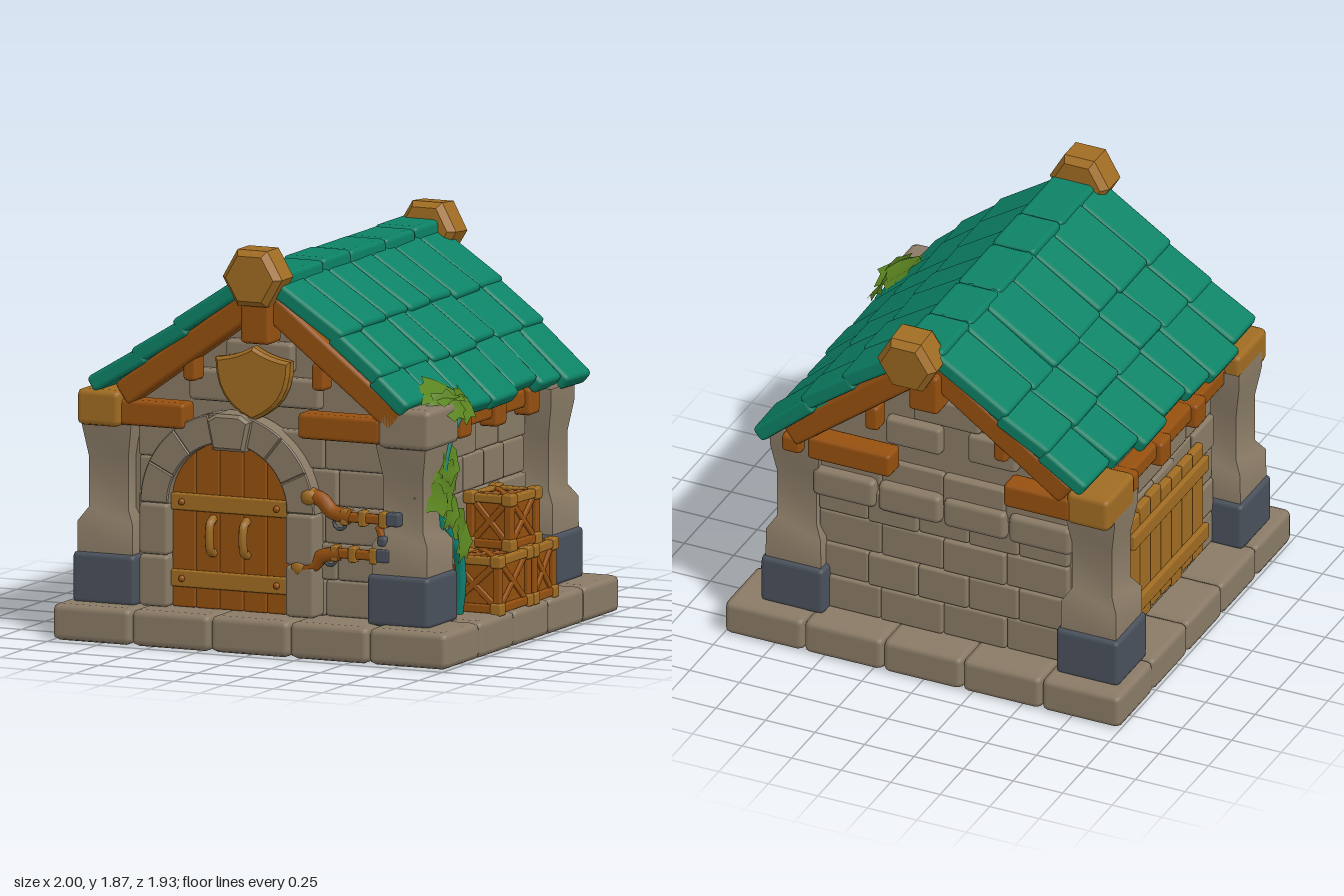
import * as THREE from 'three';
import { toCreasedNormals } from 'three/addons/utils/BufferGeometryUtils.js';
import { RoundedBoxGeometry } from 'three/addons/geometries/RoundedBoxGeometry.js';

const paint = (name, color, side = THREE.FrontSide) => {
  const m = new THREE.MeshStandardMaterial({ color, side });
  m.name = name;
  return m;
};

export function createModel() {
  const model = new THREE.Group();
  model.name = 'stoneHut';
  const stone = paint('stone', 0x8a7b66);
  const slate = paint('slate', 0x4a515c);
  const teal = paint('tealTile', 0x0c8266);
  const wood = paint('brownWood', 0x96500f);
  const gold = paint('goldenWood', 0xa06c22);
  const vineMat = paint('vine', 0x0f8474);
  const leafMat = paint('leaf', 0x5a8420, THREE.DoubleSide);

  let seed = 7;
  const rand = () => (seed = (seed * 16807) % 2147483647) / 2147483647;
  const jitter = (a) => (rand() - 0.5) * 2 * a;

  const add = (name, geo, mat, x = 0, y = 0, z = 0, parent = model) => {
    const m = new THREE.Mesh(geo, mat);
    m.name = name;
    m.position.set(x, y, z);
    parent.add(m);
    return m;
  };
  const block = (name, mat, w, h, d, x, y, z, r = 0.02, parent = model) =>
    add(name, new RoundedBoxGeometry(w, h, d, 1, Math.min(r, w / 3, h / 3, d / 3)), mat, x, y, z, parent);
  // Box laid between two points of a plane facing z
  const beam = (name, mat, [x1, y1], [x2, y2], h, d, z, parent = model) => {
    const b = block(name, mat, Math.hypot(x2 - x1, y2 - y1), h, d, (x1 + x2) / 2, (y1 + y2) / 2, z, 0.02, parent);
    b.rotation.z = Math.atan2(y2 - y1, x2 - x1);
    return b;
  };
  const outlineOf = (pts) => new THREE.Shape(pts.map((p) => new THREE.Vector2(...p)));
  const extrude = (shape, depth, bevel) => new THREE.ExtrudeGeometry(shape, {
    depth, curveSegments: 6, bevelEnabled: bevel > 0, bevelSize: bevel, bevelThickness: bevel, bevelOffset: -bevel, bevelSegments: 1,
  });
  const turned = (pts, sides, phase) =>
    toCreasedNormals(new THREE.LatheGeometry(pts.map(([r, y]) => new THREE.Vector2(r, y)), sides, phase), 0.6);

  // Paved base
  for (let i = 0; i < 5; i++) for (let j = 0; j < 5; j++)
    block('baseSlab', stone, 0.4, 0.17, 0.37, -0.8 + i * 0.4, 0.095, -0.705 + j * 0.37, 0.032);

  // House body with gables
  const body = outlineOf([[-0.76, 0.15], [0.66, 0.15], [0.66, 1.14], [0, 1.64], [-0.76, 1.12]]);
  add('walls', extrude(body, 1.4, 0), stone, 0, 0, -0.69);

  // Uneven stone courses on each wall: [axis, plane, from, to]
  for (const [axis, plane, from, to] of [['z', 0.715, -0.66, 0.6], ['z', -0.69, -0.66, 0.6], ['x', 0.66, -0.52, 0.55], ['x', -0.76, -0.52, 0.55]]) {
    for (let row = 0; row < 5; row++) {
      const n = 4 + (row % 2), w = (to - from) / n;
      for (let k = 0; k < n; k++) {
        const u = from + (k + 0.5) * w, y = 0.265 + row * 0.17, t = 0.05 + rand() * 0.04;
        if (axis === 'z') block('wallStone', stone, w, 0.17, t, u, y, plane, 0.015);
        else block('wallStone', stone, t, 0.17, w, plane, y, u, 0.015);
      }
    }
  }
  for (let k = 0; k < 4; k++) block('backLedgeStone', stone, 0.32, 0.15, 0.12, -0.53 + k * 0.33, 0.85, -0.7, 0.03);
  for (const z of [0.72, -0.7]) {
    for (const [x, y, w, h] of [[-0.28, 1.21, 0.25, 0.15], [0.12, 1.2, 0.28, 0.14], [-0.05, 1.36, 0.34, 0.14]])
      block('gableStone', stone, w, h, 0.07, x, y, z);
  }

  // Corner pillars with slate feet
  const q = Math.SQRT2;
  const shaft = turned([[0.14, 0.36], [0.138, 0.55], [0.1, 0.61], [0.1, 0.85], [0.125, 1.0], [0.125, 1.08]].map(([r, y]) => [r * q, y]), 4, Math.PI / 4);
  for (const x of [-0.79, 0.7]) for (const z of [0.69, -0.64]) {
    block('pillarFoot', slate, 0.32, 0.24, 0.32, x, 0.29, z, 0.025);
    add('pillarShaft', shaft, stone, x, 0, z);
    if (x < 0) block('pillarCap', gold, 0.22, 0.17, 0.3, x - 0.015, 1.085, z + Math.sign(z) * 0.04, 0.03);
    else if (z > 0) block('pillarCap', stone, 0.27, 0.19, 0.33, x + 0.03, 1.09, z, 0.03);
    else block('pillarCap', stone, 0.24, 0.12, 0.25, x, 1.05, z, 0.03);
  }

  // Roof: slope points from ridge to eave, and where each eave tile ends, back to front
  const slopes = [
    { s: -1, pts: [[0.05, 1.735], [0.39, 1.49], [0.6, 1.345], [0.85, 1.165]], ends: [0.8, 0.83, 0.86, 0.84, 0.86, 0.88, 0.85] },
    { s: 1, pts: [[0.05, 1.735], [0.39, 1.49], [0.6, 1.31], [0.84, 1.07]], ends: [0.85, 0.82, 0.8, 0.83, 0.82, 0.82, 0.74] },
  ];
  for (const { s, pts, ends } of slopes) {
    beam('roofDeck', teal, [0, 1.69], [s * 0.72, s > 0 ? 1.15 : 1.22], 0.04, 1.66, 0);
    for (let r = 0; r < 3; r++) {
      const [x0, y0] = pts[r], [x1, y1] = pts[r + 1], drop = (y1 - y0) / (x1 - x0);
      let back = -0.86;
      for (let k = 0; k < 7; k++) {
        const front = k === 6 ? 0.87 : -0.86 + (k + 1) * 0.247 + jitter(0.035);
        const end = r === 2 ? ends[k] : x1 + 0.02 + jitter(0.012);
        const lift = 0.016 + jitter(0.01);
        const t = beam('roofTile', teal, [s * (x0 - 0.02), y0 - drop * 0.02 - 0.012], [s * end, y0 + drop * (end - x0) + lift], 0.078, front - back, (front + back) / 2);
        t.rotation.x = jitter(0.03);
        back = front;
      }
    }
  }
  for (const [z0, z1] of [[-0.85, -0.55], [-0.55, -0.24], [-0.24, 0.13], [0.13, 0.42], [0.42, 0.86]])
    block('ridgeTile', teal, 0.22, 0.08, z1 - z0, 0.02, 1.735 + jitter(0.008), (z0 + z1) / 2, 0.025);

  // Ridge ends
  const finial = turned([[0, -0.095], [0.12, -0.095], [0.15, -0.06], [0.15, 0.06], [0.12, 0.095], [0, 0.095]], 6, Math.PI / 6);
  for (const [x, y, z, tip] of [[0, 1.75, 0.86, 0], [0.055, 1.715, -0.868, -0.08]])
    add('ridgeEnd', finial, gold, x, y, z).rotation.x = Math.PI / 2 + tip;

  // Timber framing of both gables
  for (const z of [0.79, -0.77]) {
    for (const s of [-1, 1]) {
      beam('gableRafter', wood, [s * 0.03, 1.63], [s * 0.7, s > 0 ? 1.11 : 1.15], 0.12, 0.13, z);
      block('gableStrut', wood, 0.07, 0.13, 0.1, s > 0 ? 0.29 : -0.36, 1.3, z);
    }
    block('tieBeam', wood, 0.34, 0.12, 0.12, -0.55, 1.07, z);
    block('tieBeam', wood, 0.42, 0.12, 0.12, 0.4, 1.07, z);
    block('kingPost', wood, 0.15, 0.2, 0.14, 0, 1.54, z + Math.sign(z) * 0.04);
  }

  // Timber below the eaves
  for (const x of [0.7, -0.79]) {
    block('eaveBeam', wood, 0.1, 0.09, 1.62, x, 1.05, 0);
    for (const z of [0.27, -0.1, -0.45]) block('rafterEnd', wood, 0.14, 0.13, 0.11, x + Math.sign(x) * 0.01, 1.035, z);
  }

  // Arched door
  const cx = -0.17, springY = 0.66;
  for (let k = 0; k < 5; k++) {
    const u = -0.24 + k * 0.12, edge = Math.abs(u) + 0.06;
    const top = springY + Math.sqrt(0.42 ** 2 - edge ** 2);
    block('doorPlank', wood, 0.12, top - 0.18, 0.05, cx + u, (top + 0.18) / 2, 0.765, 0.01);
  }
  for (const y of [0.315, 0.67]) {
    block('doorStrap', gold, 0.6, 0.08, 0.03, cx, y, 0.795, 0.01);
    for (const u of [-0.24, 0.24]) add('strapStud', new THREE.SphereGeometry(0.016, 8, 6), wood, cx + u, y, 0.812);
  }
  for (const u of [-0.09, 0.08]) {
    const path = new THREE.CatmullRomCurve3([[0, -0.08, 0], [0, -0.06, 0.04], [0, 0.06, 0.04], [0, 0.08, 0]].map((p) => new THREE.Vector3(...p)));
    add('doorHandle', new THREE.TubeGeometry(path, 10, 0.022, 6), gold, cx + u, 0.52, 0.785);
  }

  // Door surround
  for (let k = 0; k < 7; k++) {
    const a0 = (k / 7) * Math.PI, a1 = ((k + 1) / 7) * Math.PI;
    const sector = new THREE.Shape();
    sector.absarc(0, 0, 0.44, a0, a1, false);
    sector.absarc(0, 0, 0.3, a1, a0, true);
    add('archStone', toCreasedNormals(extrude(sector, 0.1, 0.006), 0.5), stone, cx, springY, 0.73);
  }
  const key = outlineOf([[-0.08, -0.08], [0.08, -0.08], [0.11, 0.06], [0.06, 0.09], [-0.06, 0.09], [-0.11, 0.06]]);
  add('keystone', extrude(key, 0.13, 0.015), stone, cx + 0.02, 1.01, 0.73);
  for (const s of [-1, 1]) for (const y of [0.3, 0.54])
    block('doorJamb', stone, 0.15, 0.24, 0.13, cx + s * 0.37, y, 0.78);

  // Shield on the front gable
  const shield = new THREE.Shape();
  shield.moveTo(0, 0.17);
  shield.quadraticCurveTo(-0.08, 0.12, -0.19, 0.11);
  shield.bezierCurveTo(-0.19, -0.04, -0.13, -0.12, 0, -0.175);
  shield.bezierCurveTo(0.13, -0.12, 0.19, -0.04, 0.19, 0.11);
  shield.quadraticCurveTo(0.08, 0.12, 0, 0.17);
  add('shield', extrude(shield, 0.04, 0.015), gold, -0.05, 1.245, 0.77);

  // Two old pistols hung on the front wall
  const pistol = (x, y, up) => {
    const g = new THREE.Group();
    g.name = 'pistol';
    g.position.set(x, y, 0.81);
    const grip = new THREE.CatmullRomCurve3([[-0.22, 0.09], [-0.15, 0.07], [-0.1, 0.02], [0, 0]].map(([a, b]) => new THREE.Vector3(a, b * up, 0)));
    add('grip', new THREE.TubeGeometry(grip, 10, 0.036, 6), wood, 0, 0, 0, g);
    add('gripEnd', new THREE.SphereGeometry(0.046, 8, 6), gold, -0.21, 0.08 * up, 0, g);
    block('barrel', wood, 0.24, 0.045, 0.04, 0.08, 0, 0, 0.012, g);
    block('muzzle', slate, 0.07, 0.065, 0.05, 0.215, 0.004, 0, 0.012, g);
    for (const u of [-0.03, 0.06, 0.165]) block('band', gold, 0.04, 0.075, 0.055, u, 0, 0, 0.01, g);
    add('triggerGuard', new THREE.TorusGeometry(0.03, 0.009, 5, 10), slate, -0.06, -0.03, 0, g);
    model.add(g);
  };
  pistol(0.45, 0.66, 1);
  pistol(0.4, 0.49, -1);
  beam('wallHook', wood, [0.58, 0.63], [0.63, 0.5], 0.03, 0.04, 0.8);
  block('hookTip', slate, 0.05, 0.05, 0.05, 0.61, 0.56, 0.81);

  // Plank shutter on the side wall
  for (let k = 0; k < 7; k++)
    block('shutterPlank', gold, 0.04, 0.6 + jitter(0.03), 0.112, -0.82, 0.54 + jitter(0.012), -0.38 + k * 0.113, 0.012);
  for (const y of [0.36, 0.72]) block('shutterRail', gold, 0.03, 0.08, 0.8, -0.85, y, -0.04, 0.01);

  // Crates
  const crate = (x, y, z, w, h, d, turn) => {
    const g = new THREE.Group();
    g.name = 'crate';
    g.position.set(x, y + h / 2, z);
    g.rotation.y = turn;
    block('crateCore', wood, w - 0.04, h - 0.03, d - 0.04, 0, 0, 0, 0.005, g);
    for (const a of [-1, 1]) {
      for (const b of [-1, 1]) {
        const px = a * (w / 2 - 0.02), pz = b * (d / 2 - 0.02), py = b * (h / 2 - 0.02);
        block('cratePost', wood, 0.04, h, 0.04, px, 0, pz, 0.008, g);
        block('crateRail', b > 0 ? gold : wood, 0.04, 0.04, d, px, py, 0, 0.008, g);
        for (const c of [-1, 1]) block('crateCorner', gold, 0.06, 0.06, 0.06, px, c * (h / 2 - 0.02), pz, 0.012, g);
        beam('crateBrace', wood, [-w / 2 + 0.04, -b * (h / 2 - 0.04)], [w / 2 - 0.04, b * (h / 2 - 0.04)], 0.03, 0.02, a * (d / 2 - 0.018), g);
        const side = block('crateBrace', wood, 0.02, 0.03, Math.hypot(d, h) - 0.1, a * (w / 2 - 0.018), 0, 0, 0.006, g);
        side.rotation.x = b * Math.atan2(h, d);
        block('crateRail', b > 0 ? gold : wood, w, 0.04, 0.04, 0, py, a * (d / 2 - 0.02), 0.008, g);
      }
      const lid = block('lidBrace', wood, Math.hypot(w, d) - 0.1, 0.02, 0.03, 0, h / 2 - 0.012, 0, 0.006, g);
      lid.rotation.y = a * Math.atan2(d, w);
    }
    model.add(g);
  };
  crate(0.845, 0.18, 0.19, 0.28, 0.26, 0.34, 0);
  crate(0.845, 0.18, -0.12, 0.28, 0.26, 0.26, 0.04);
  crate(0.825, 0.44, -0.005, 0.24, 0.25, 0.28, -0.05);

  // Climbing vine
  const stems = [
    [[0.76, 0.18, 0.43], [0.78, 0.35, 0.5], [0.79, 0.55, 0.57], [0.8, 0.8, 0.6], [0.8, 1.0, 0.52], [0.82, 1.13, 0.42]],
    [[0.8, 0.18, 0.42], [0.82, 0.32, 0.43], [0.82, 0.45, 0.45], [0.8, 0.6, 0.55]],
  ];
  for (const pts of stems)
    add('vineStem', new THREE.TubeGeometry(new THREE.CatmullRomCurve3(pts.map((p) => new THREE.Vector3(...p))), 24, 0.025, 6), vineMat);

  // Jagged leaves, drooping towards the tips
  const outline = [];
  for (let i = 0; i < 16; i++) {
    const a = (i / 16) * Math.PI * 2, r = i % 2 ? 0.72 : 1;
    outline.push([Math.cos(a) * r, Math.sin(a) * r * 0.65]);
  }
  const leafGeo = new THREE.ShapeGeometry(outlineOf(outline));
  const lp = leafGeo.attributes.position;
  for (let i = 0; i < lp.count; i++) lp.setZ(i, -0.3 * lp.getX(i) ** 2);
  leafGeo.computeVertexNormals();
  // position, size, facing direction, roll
  for (const [x, y, z, size, nx, ny, nz, roll] of [
    [0.79, 1.24, 0.55, 0.19, 0.45, 1, 0, 0], [0.86, 1.17, 0.47, 0.14, 1, 0.6, -0.1, 0.4], [0.86, 1.18, 0.62, 0.13, 1, 0.6, 0.3, -0.2],
    [0.83, 0.91, 0.55, 0.14, 1, 0.2, 0, 0.9], [0.83, 0.84, 0.58, 0.14, 1, 0.1, 0.1, -0.6], [0.83, 0.76, 0.66, 0.15, 1, 0.2, 0.2, -0.1],
    [0.84, 0.7, 0.55, 0.13, 1, 0.2, -0.1, 0.8], [0.84, 0.61, 0.49, 0.14, 1, 0.1, 0, -0.8], [0.85, 0.54, 0.45, 0.12, 1, 0.2, 0, 1.2],
  ]) {
    const leaf = add('leaf', leafGeo, leafMat, x, y, z);
    leaf.scale.setScalar(size);
    leaf.lookAt(x + nx, y + ny, z + nz);
    leaf.rotateZ(roll);
  }
  return model;
}
